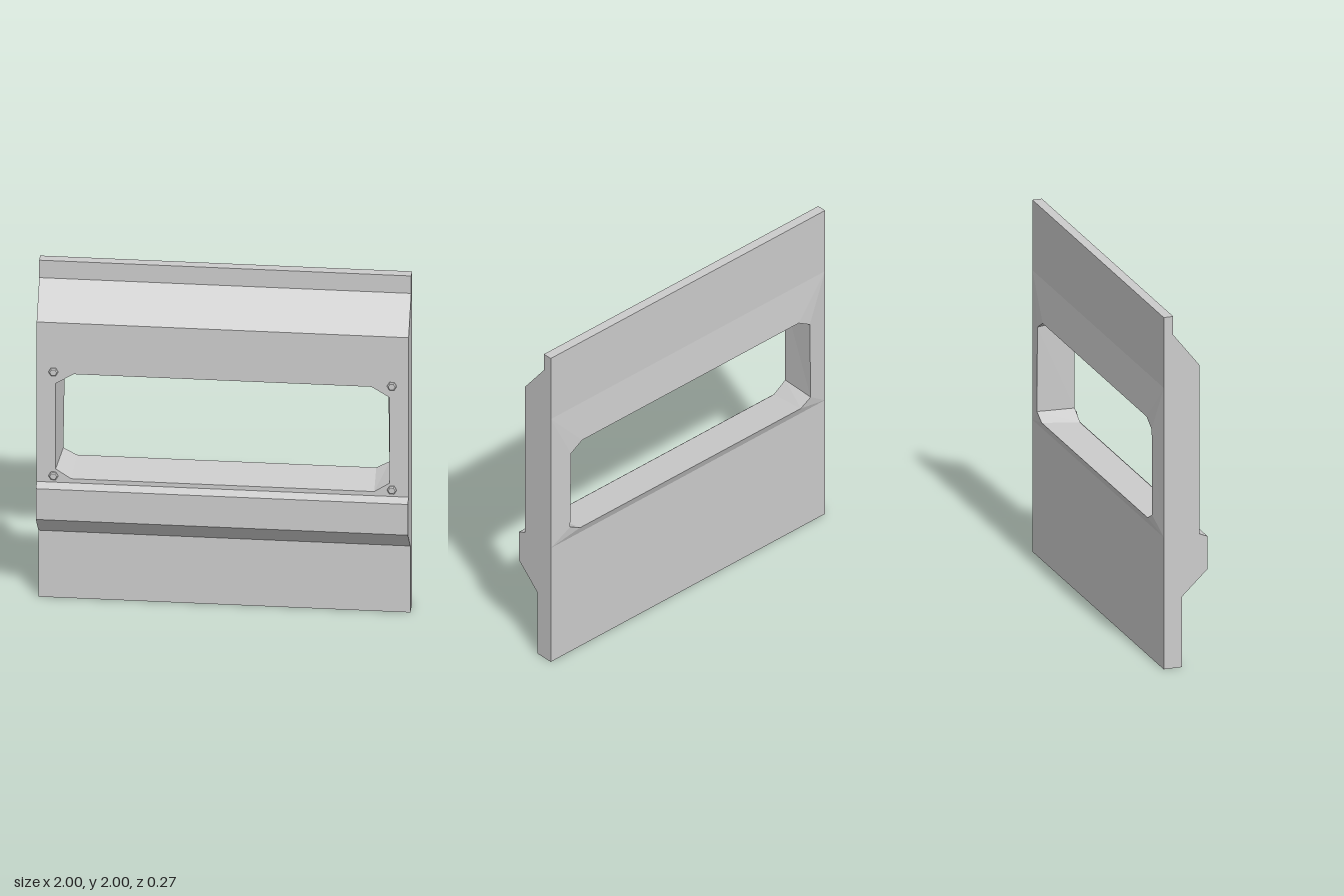
import * as THREE from 'three';

const material = new THREE.MeshStandardMaterial({ color: 0xcccccc, flatShading: true });
const BACK = -0.114, FACE = 0.09, RIM = -0.134;

// Flat-faced strip between two matching rows of points; the segments in skip stay open
function loft(a, b, skip = []) {
  const pos = [];
  const n = a.length;
  const tri = (...pts) => pts.forEach((p) => pos.push(p.x, p.y, p.z));
  for (let i = 0; i < n; i++) {
    if (skip.includes(i)) continue;
    const j = (i + 1) % n;
    tri(a[i], a[j], b[j]);
    if (!b[i].equals(b[j])) tri(a[i], b[j], b[i]);
  }
  const geo = new THREE.BufferGeometry();
  geo.setAttribute('position', new THREE.Float32BufferAttribute(pos, 3));
  geo.computeVertexNormals();
  return geo;
}

// Loop of eight points from the right half, mirrored to the left
function ring(half, z) {
  const [p, q, r, s] = half; // lower side, upper side, top, bottom
  const m = ([x, y]) => [-x, y];
  return [p, q, r, m(r), m(q), m(p), m(s), s].map(([x, y]) => new THREE.Vector3(x, y, z));
}

export function createModel() {
  const group = new THREE.Group();
  const add = (name, geo) => {
    const mesh = new THREE.Mesh(geo, material);
    mesh.name = name;
    group.add(mesh);
    return mesh;
  };

  // Side profile (z, y), up the front and down the back
  const profile = [
    [-0.01, 0], [-0.01, 0.4], [0.137, 0.54], [0.137, 0.725], [FACE, 0.745],
    [FACE, 1.705], [-0.06, 1.895], [-0.06, 2], [BACK, 2], [BACK, 1.6], [BACK, 0.75], [BACK, 0],
  ];
  const at = (x) => profile.map(([z, y]) => new THREE.Vector3(x, y, z));
  add('panelBody', loft(at(1), at(-1), [4, 9]));

  // Closed ends of the panel
  for (const side of [1, -1]) {
    const shape = new THREE.Shape(profile.map(([z, y]) => new THREE.Vector2(-side * z, y)));
    const end = add(side > 0 ? 'leftEnd' : 'rightEnd', new THREE.ShapeGeometry(shape));
    end.rotation.y = side * Math.PI / 2;
    end.position.x = side;
  }

  // Window opening: front outline, slightly smaller back outline, outer edge of the rear rim
  const front = ring([[0.898, 0.825], [0.898, 1.34], [0.8, 1.4], [0.815, 0.77]], FACE);
  const back = ring([[0.877, 0.84], [0.87, 1.322], [0.79, 1.37], [0.805, 0.8]], RIM);
  const outer = ring([[1, 0.75], [1, 1.6], [1, 1.6], [1, 0.75]], BACK);

  // Front face around the opening
  const face = new THREE.Shape([[-1, 0.745], [1, 0.745], [1, 1.705], [-1, 1.705]]
    .map(([x, y]) => new THREE.Vector2(x, y)));
  face.holes.push(new THREE.Path(front.map((p) => new THREE.Vector2(p.x, p.y))));
  add('windowFace', new THREE.ShapeGeometry(face)).position.z = FACE;

  add('windowReveal', loft(front, back));
  add('rearRim', loft(back, outer));

  // Chamfered hexagonal bolts at the window corners
  const boltProfile = [[0.026, 0], [0.026, 0.007], [0.019, 0.013], [0, 0.013]]
    .map(([r, h]) => new THREE.Vector2(r, h));
  const boltGeo = new THREE.LatheGeometry(boltProfile, 6, Math.PI / 2);
  boltGeo.rotateX(Math.PI / 2);
  for (const x of [-0.91, 0.91]) {
    for (const y of [0.785, 1.41]) add('bolt', boltGeo).position.set(x, y, FACE);
  }

  return group;
}
